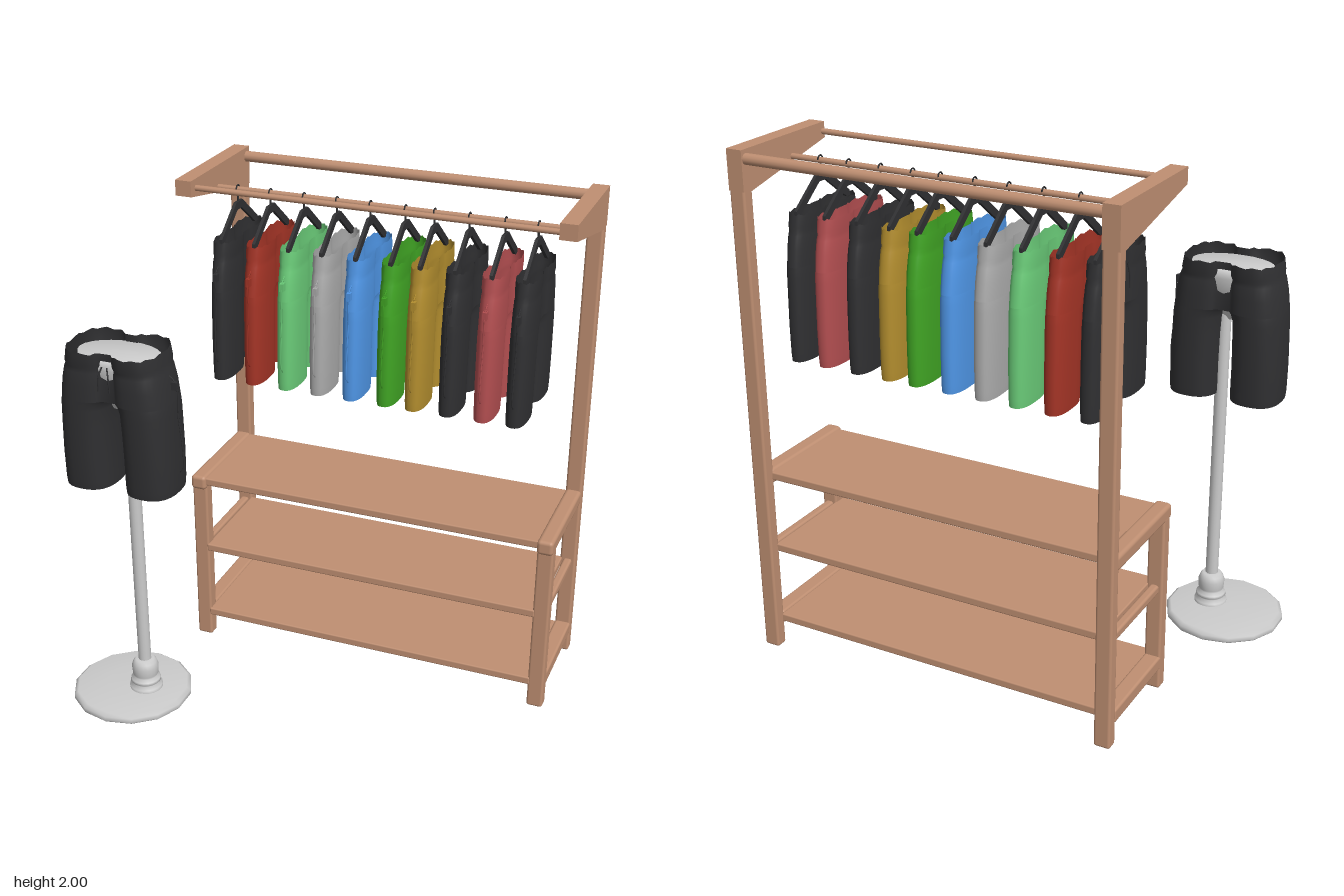
import * as THREE from 'three';
import { RoundedBoxGeometry } from 'three/addons/geometries/RoundedBoxGeometry.js';

const material = (color) => new THREE.MeshStandardMaterial({ color, side: THREE.DoubleSide });
const wood = material(0xbf8f72), grey = material(0xcccccc), black = material(0x303032);

function add(parent, name, geometry, mat, x = 0, y = 0, z = 0) {
  const mesh = new THREE.Mesh(geometry, mat);
  mesh.name = name;
  mesh.position.set(x, y, z);
  parent.add(mesh);
  return mesh;
}

// Rounded beam given by its limits on each axis
function beam(parent, name, [x0, x1], [y0, y1], [z0, z1], r = 0.01) {
  const g = new RoundedBoxGeometry(x1 - x0, y1 - y0, z1 - z0, 2, r);
  return add(parent, name, g, wood, (x0 + x1) / 2, (y0 + y1) / 2, (z0 + z1) / 2);
}

function rod(parent, name, a, b, r, mat, sides = 10) {
  const from = new THREE.Vector3(...a), to = new THREE.Vector3(...b);
  const dir = to.clone().sub(from);
  const mesh = add(parent, name, new THREE.CylinderGeometry(r, r, dir.length(), sides), mat);
  mesh.position.copy(from).add(to).multiplyScalar(0.5);
  mesh.quaternion.setFromUnitVectors(new THREE.Vector3(0, 1, 0), dir.normalize());
  return mesh;
}

// Skin over closed rings of equal point count
function loft(rings) {
  const n = rings[0].length, index = [];
  for (let i = 0; i < rings.length - 1; i++) {
    for (let j = 0; j < n; j++) {
      const a = i * n + j, b = i * n + (j + 1) % n;
      index.push(a, a + n, b, b, a + n, b + n);
    }
  }
  const g = new THREE.BufferGeometry();
  g.setAttribute('position', new THREE.Float32BufferAttribute(rings.flat(2), 3));
  g.setIndex(index);
  g.computeVertexNormals();
  return g;
}

const power = (v, e) => Math.sign(v) * Math.abs(v) ** e;

// Point on one leg's section, between inner and outer edge
function legPoint(side, angle, y, inner, outer, depth) {
  const c = (inner + outer) / 2, h = (outer - inner) / 2;
  return [side * (c + h * power(Math.cos(angle), 0.8)), y, depth * power(Math.sin(angle), 0.8)];
}

// Shorts: hem at y = 0, width along x, depth scaled by half depth d
function makeShorts(name, color, d) {
  const group = new THREE.Group();
  group.name = name;
  const mat = material(color);
  const steps = 32, arc = 12; // arc = 135 degrees in steps
  const legs = [[0, 0.026, 0.22, 0.92], [0.03, 0.025, 0.222, 0.95], [0.14, 0.026, 0.222, 0.98],
    [0.25, 0.024, 0.218, 1], [0.32, 0.02, 0.216, 1], [0.345, 0.012, 0.214, 1], [0.358, 0, 0.213, 1]];
  for (const side of [-1, 1]) {
    const rings = legs.map(([y, inner, outer, k]) => Array.from({ length: steps }, (_, j) =>
      legPoint(side, side * j / steps * Math.PI * 2, y, inner, outer, d * k)));
    add(group, side > 0 ? 'leftLeg' : 'rightLeg', loft(rings), mat);
  }
  const hipRing = ([y, outer, k]) => {
    const ring = [];
    for (const side of [1, -1]) {
      for (let j = -arc; j <= arc; j++) {
        const ripple = y > 0.5 ? 0.004 * Math.sin(j * 2.1) : 0;
        ring.push(legPoint(side, side * j / steps * Math.PI * 2, y + ripple, 0, outer, d * k));
      }
    }
    return ring;
  };
  const hips = [[0.358, 0.213, 1], [0.42, 0.205, 1], [0.47, 0.194, 0.97],
    [0.485, 0.188, 0.93], [0.5, 0.188, 1], [0.545, 0.18, 1]];
  add(group, 'hips', loft(hips.map(hipRing)), mat);

  // Drawstrings on the front, side cord and its toggle
  const cord = (cordName, points) => add(group, cordName, new THREE.TubeGeometry(
    new THREE.CatmullRomCurve3(points.map((p) => new THREE.Vector3(...p))), 16, 0.003, 5), mat);
  for (const s of [-1, 1]) {
    cord('drawstring', [[0.01 * s, 0.5, d * 0.85], [0.02 * s, 0.46, d * 0.95], [0.022 * s, 0.41, d * 0.95]]);
  }
  cord('sideCord', [[0.19, 0.46, 0], [0.222, 0.43, 0], [0.226, 0.3, 0], [0.238, 0.18, 0], [0.236, 0.09, 0], [0.222, 0.08, 0]]);
  add(group, 'cordToggle', new THREE.BoxGeometry(0.022, 0.03, 0.016), mat, 0.217, 0.42, 0);
  return group;
}

function makeHanger() {
  const group = new THREE.Group();
  group.name = 'hanger';
  for (const s of [-1, 1]) {
    const arm = new THREE.Shape([[0, 0.11], [0.028, 0.11], [0.165, 0.005], [0.165, -0.015],
      [0.145, -0.015], [0.02, 0.08], [0, 0.08]].map(([x, y]) => new THREE.Vector2(s * x, y)));
    add(group, 'hangerArm', new THREE.ExtrudeGeometry(arm, { depth: 0.012, bevelEnabled: false }), black, 0, 0, -0.006);
  }
  rod(group, 'hangerStem', [0, 0.1, 0], [0, 0.15, 0], 0.004, black, 6);
  const hook = add(group, 'hangerHook', new THREE.TorusGeometry(0.014, 0.003, 5, 14, Math.PI * 1.5), black, 0, 0.158, 0);
  hook.rotation.z = -Math.PI / 2;
  return group;
}

function makeRack() {
  const rack = new THREE.Group();
  rack.name = 'rack';
  // Side frames: posts, legs, rails and tapered top arms
  for (const [x, tip] of [[[-0.622, -0.558], -0.1], [[0.822, 0.886], -0.13]]) {
    beam(rack, 'backPost', x, [0, 1.995], [-0.625, -0.575]);
    beam(rack, 'frontLeg', x, [0, 0.72], [-0.19, -0.137]);
    beam(rack, 'upperSideRail', x, [0.7, 0.76], [-0.585, -0.122], 0.015);
    beam(rack, 'middleSideRail', [x[0] + 0.015, x[1] - 0.015], [0.408, 0.444], [-0.58, -0.18]);
    beam(rack, 'lowerSideRail', x, [0.085, 0.14], [-0.58, -0.14]);
    const profile = new THREE.Shape([[tip, 2], [-0.625, 2], [-0.625, 1.85], [-0.58, 1.845], [tip, 1.94]]
      .map(([z, y]) => new THREE.Vector2(-z, y)));
    const arm = add(rack, 'topArm', new THREE.ExtrudeGeometry(profile,
      { depth: x[1] - x[0], bevelEnabled: false }), wood, x[0], 0, 0);
    arm.rotation.y = Math.PI / 2;
  }
  for (const y of [0.735, 0.428, 0.115]) {
    beam(rack, 'shelf', [-0.565, 0.83], [y - 0.016, y + 0.016], [-0.585, -0.135], 0.006);
  }
  // Long rails between the arms
  rod(rack, 'backTopRail', [-0.58, 1.965, -0.6], [0.84, 1.965, -0.6], 0.021, wood, 12);
  rod(rack, 'frontTopRail', [-0.58, 1.965, -0.142], [0.84, 1.965, -0.142], 0.011, wood);
  rod(rack, 'hangingRod', [-0.59, 1.915, -0.335], [0.85, 1.915, -0.335], 0.011, wood);
  return rack;
}

function makeStand() {
  const stand = new THREE.Group();
  stand.name = 'displayStand';
  const lathe = (points, sides) => new THREE.LatheGeometry(points.map((p) => new THREE.Vector2(...p)), sides);
  add(stand, 'standBase', lathe([[0, 0.034], [0.23, 0.034], [0.235, 0.04], [0.235, 0.058],
    [0.22, 0.07], [0.1, 0.078], [0, 0.08]], 14), grey, -0.655, 0, 0.39);
  add(stand, 'standCollar', lathe([[0.065, 0.075], [0.065, 0.09], [0.05, 0.1], [0.06, 0.11], [0.058, 0.12],
    [0.046, 0.13], [0.05, 0.14], [0.053, 0.175], [0.046, 0.195], [0.036, 0.207], [0, 0.207]], 20), grey, -0.592, 0, 0.395);
  rod(stand, 'pole', [-0.592, 0.19, 0.395], [-0.592, 1.36, 0.395], 0.025, grey, 16);
  // Torso form that fills the waist
  const form = add(stand, 'torsoForm', lathe([[0, 1.3], [0.045, 1.3], [0.1, 1.36], [0.15, 1.42],
    [0.165, 1.48], [0.16, 1.515], [0, 1.515]], 24), grey, -0.61, 0, 0.41);
  form.scale.z = 0.63;
  const shorts = makeShorts('displayShorts', 0x303032, 0.128);
  shorts.position.set(-0.612, 0.998, 0.412);
  stand.add(shorts);
  return stand;
}

export function createModel() {
  const model = new THREE.Group();
  model.name = 'clothesRackDisplay';
  model.add(makeRack(), makeStand());
  // Row of shorts on hangers
  const row = [[-0.475, 0x303032], [-0.34, 0xa43426], [-0.203, 0x6acb78], [-0.07, 0xababab], [0.063, 0x4f96e6],
    [0.2, 0x40a424], [0.312, 0xb28d2e], [0.445, 0x303032], [0.58, 0xb24e50], [0.702, 0x303032]];
  for (const [x, color] of row) {
    const shorts = makeShorts('hangingShorts', color, 0.042);
    shorts.position.set(x, 1.212, -0.332);
    shorts.rotation.y = -Math.PI / 2;
    const hanger = makeHanger();
    hanger.position.set(x, 1.76, -0.332);
    hanger.rotation.y = -Math.PI / 2;
    model.add(shorts, hanger);
  }
  return model;
}
